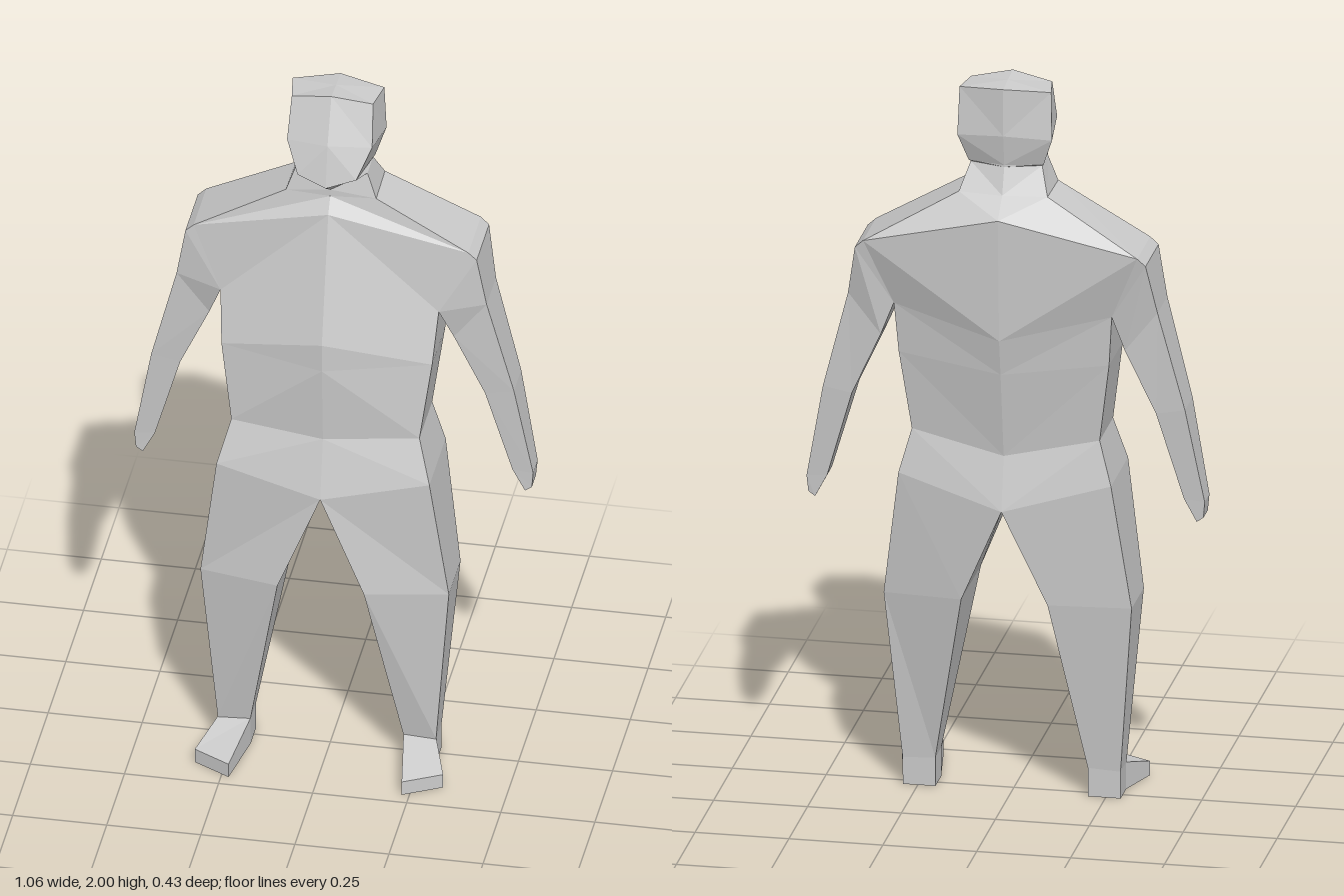
import * as THREE from 'three';
import { mergeGeometries } from 'three/addons/utils/BufferGeometryUtils.js';

const material = new THREE.MeshStandardMaterial({ color: 0xcccccc, flatShading: true, side: THREE.DoubleSide });
const vec = (p) => new THREE.Vector3(...p);

// Skins rows of points; side = -1 gives the mirror image. Closed rings get an end cap.
function loft(rows, side = 1, closed = false) {
  const rings = rows.map((row) => row.map(vec));
  const n = rings[0].length;
  if (closed) {
    const last = rings[rings.length - 1];
    const middle = last.reduce((sum, p) => sum.add(p), new THREE.Vector3()).divideScalar(n);
    rings.push(last.map(() => middle));
  }
  const positions = [];
  const triangle = (a, b, c) => {
    if (new THREE.Triangle(a, b, c).getArea() < 1e-7) return;
    for (const p of side > 0 ? [a, b, c] : [a, c, b]) positions.push(p.x * side, p.y, p.z);
  };
  for (let i = 0; i < rings.length - 1; i++) {
    for (let j = 0; j < (closed ? n : n - 1); j++) {
      const k = (j + 1) % n;
      const a = rings[i][j], b = rings[i + 1][j], c = rings[i + 1][k], d = rings[i][k];
      triangle(a, b, c);
      triangle(a, c, d);
    }
  }
  const geometry = new THREE.BufferGeometry();
  geometry.setAttribute('position', new THREE.Float32BufferAttribute(positions, 3));
  geometry.computeVertexNormals();
  return geometry;
}

// Half rows run: front centre, front corner, back corner, back centre.
const symmetric = (rows) => mergeGeometries([loft(rows, 1), loft(rows, -1)]);

export function createModel() {
  const group = new THREE.Group();
  const add = (name, geometry) => {
    const mesh = new THREE.Mesh(geometry, material);
    mesh.name = name;
    group.add(mesh);
  };

  const crown = [0, 1.995, -0.08];
  const jawLine = [[0, 1.72, 0], [0.095, 1.77, -0.02], [0.095, 1.77, -0.1], [0, 1.77, -0.13]];
  const collar = [[0, 1.7, 0], [0.12, 1.7, -0.01], [0.118, 1.7, -0.145], [0, 1.7, -0.158]];

  // Head: crown, brow, cheeks, jaw
  add('head', symmetric([
    [crown, crown, crown, crown],
    [[0, 2, -0.015], [0.108, 1.98, -0.03], [0.122, 1.98, -0.115], [0, 1.99, -0.145]],
    [[0, 1.88, 0.04], [0.113, 1.87, 0.01], [0.126, 1.85, -0.125], [0, 1.86, -0.145]],
    [[0, 1.765, 0.066], [0.078, 1.79, 0.05], [0.1, 1.775, -0.105], [0, 1.775, -0.13]],
    jawLine,
  ]));

  add('neck', symmetric([jawLine, collar]));

  // Torso: collar, shoulders, armpits, ribs, waist, hips
  add('torso', symmetric([
    collar,
    [[0, 1.66, 0.03], [0.365, 1.56, -0.01], [0.365, 1.56, -0.187], [0, 1.65, -0.217]],
    [[0, 1.31, 0.12], [0.29, 1.38, 0.01], [0.29, 1.38, -0.15], [0, 1.31, -0.2]],
    [[0, 1.23, 0.12], [0.28, 1.24, 0.05], [0.28, 1.24, -0.135], [0, 1.21, -0.18]],
    [[0, 1.01, 0.105], [0.25, 1.02, 0.07], [0.25, 1.02, -0.11], [0, 0.97, -0.138]],
    [[0, 0.845, 0.143], [0.283, 0.9, 0.105], [0.283, 0.9, -0.125], [0, 0.825, -0.17]],
  ]));

  // Limb ring: inner front, outer front, outer back, inner back
  const ring = (inner, outer, front, back) => [
    [...inner, front], [...outer, front], [...outer, back], [...inner, back],
  ];
  const arm = [
    [[0.29, 1.38, 0.01], [0.365, 1.56, -0.01], [0.365, 1.56, -0.187], [0.29, 1.38, -0.15]],
    [[0.29, 1.38, 0.01], [0.387, 1.54, -0.01], [0.387, 1.54, -0.185], [0.29, 1.38, -0.15]],
    ring([0.325, 1.29], [0.412, 1.4], -0.018, -0.15),
    ring([0.405, 1.115], [0.482, 1.13], -0.032, -0.135),
    ring([0.475, 0.875], [0.53, 0.87], -0.048, -0.112),
    ring([0.508, 0.812], [0.526, 0.825], -0.05, -0.108),
  ];
  const leg = [
    [[0, 0.845, 0.143], [0.283, 0.9, 0.105], [0.283, 0.9, -0.125], [0, 0.825, -0.17]],
    [[0.115, 0.56, 0.137], [0.33, 0.55, 0.08], [0.33, 0.55, -0.085], [0.115, 0.56, -0.13]],
    ring([0.203, 0.08], [0.29, 0.075], 0.048, -0.032),
    ring([0.203, 0], [0.29, 0], 0.048, -0.03),
  ];
  // Foot runs forward and turns outwards: top edge then sole
  const foot = [
    [[0.203, 0.08, 0.045], [0.29, 0.075, 0.045], [0.29, 0, 0.045], [0.203, 0, 0.045]],
    [[0.23, 0.04, 0.215], [0.33, 0.04, 0.16], [0.33, 0, 0.16], [0.23, 0, 0.215]],
  ];
  for (const [name, side] of [['left', 1], ['right', -1]]) {
    add(name + 'Arm', loft(arm, side, true));
    add(name + 'Leg', loft(leg, side, true));
    add(name + 'Foot', loft(foot, side, true));
  }
  return group;
}
